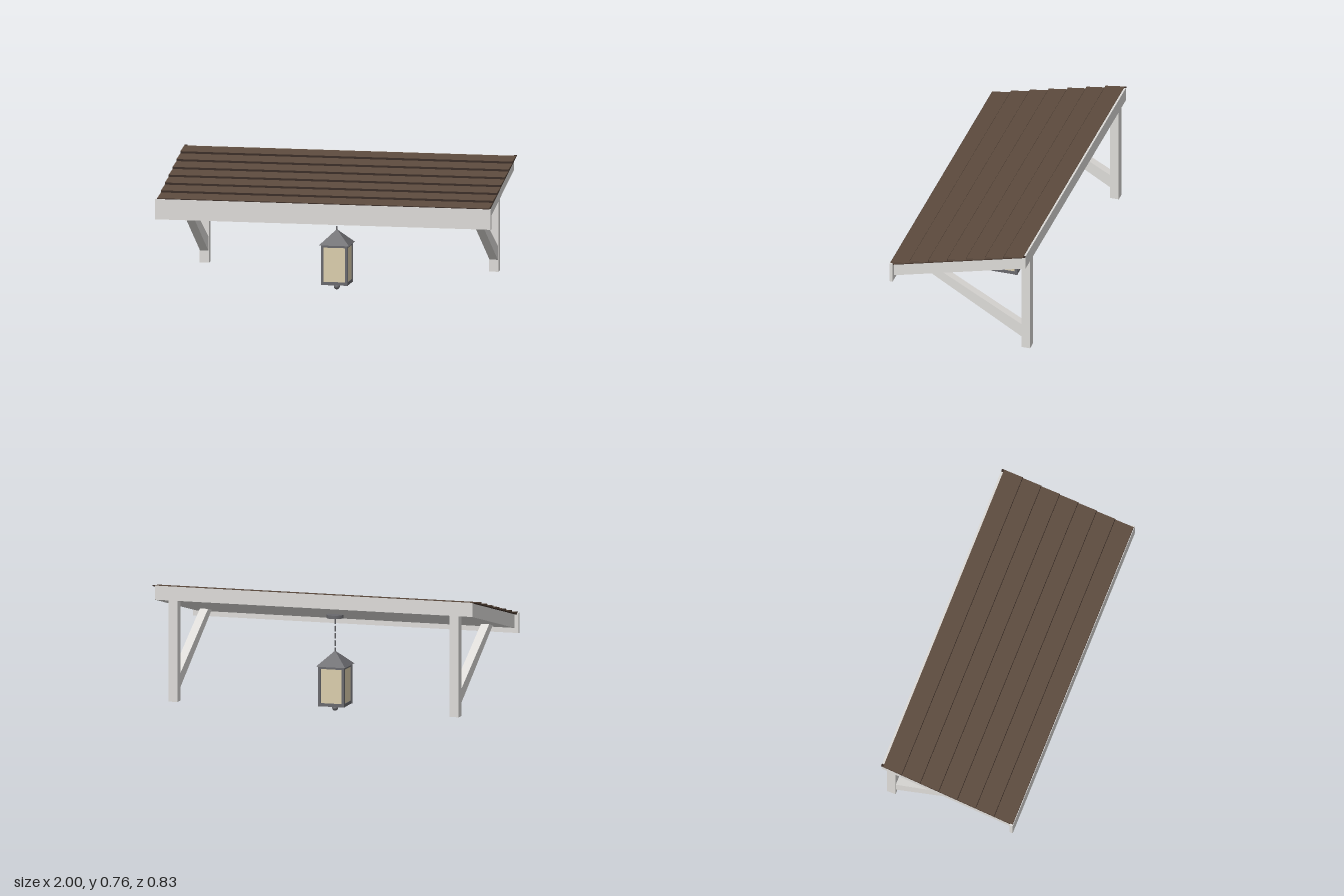
import * as THREE from 'three';

const mat = (name, color) => {
  const m = new THREE.MeshStandardMaterial({ color });
  m.name = name;
  return m;
};

export function createModel() {
  const model = new THREE.Group();
  const white = mat('paintedWood', 0xdddbd8);
  const brown = mat('brownBoards', 0x5c4a3d);
  const dark = mat('darkBrownEdge', 0x382a23);
  const metal = mat('greyMetal', 0x68686c);
  const glass = mat('warmGlass', 0xdacdac);

  const add = (parent, name, geo, material, x = 0, y = 0, z = 0) => {
    const mesh = new THREE.Mesh(geo, material);
    mesh.name = name;
    mesh.position.set(x, y, z);
    parent.add(mesh);
    return mesh;
  };
  const box = (parent, name, material, w, h, d, x, y, z) =>
    add(parent, name, new THREE.BoxGeometry(w, h, d), material, x, y, z);
  // Side profile of [z, y] points, extruded across x
  const slab = (name, points, width, material, x = 0) => {
    const shape = new THREE.Shape(points.map(([z, y]) => new THREE.Vector2(z, y)));
    const geo = new THREE.ExtrudeGeometry(shape, { depth: width, bevelEnabled: false });
    geo.translate(0, 0, -width / 2).rotateY(-Math.PI / 2);
    return add(model, name, geo, material, x);
  };
  // Heights of the sloping roof frame
  const top = z => 0.66 - 0.2445 * z;
  const bottom = z => 0.576 - 0.2445 * z;
  const front = 0.40, back = -0.413;

  // Roof body and front fascia
  slab('roofFrame', [[front, bottom(front)], [front, top(front)], [back, top(back)], [back, bottom(back)]], 1.95, white);
  box(model, 'fascia', white, 2, 0.12, 0.02, 0, 0.51, 0.405);

  // Overlapping roof boards, each with a dark front lip
  const count = 7, start = 0.41, end = -0.40;
  const pitch = (start - end) / count;
  for (let i = 0; i < count; i++) {
    const z0 = start - i * pitch, z1 = z0 - pitch;
    slab('roofBoard', [[z0, top(z0)], [z0, top(z0) + 0.015], [z1, top(z1) + 0.003], [z1, top(z1)]], 1.98, brown);
    box(model, 'boardLip', dark, 1.98, 0.0125, 0.002, 0, top(z0) + 0.0085, z0 + 0.0005);
  }

  // Mirrored edge strips, wall posts and diagonal braces
  for (const s of [-1, 1]) {
    slab('edgeStrip', [[0.41, top(0.41) - 0.003], [0.41, top(0.41) + 0.003], [back, top(back) + 0.002], [back, top(back) - 0.003]],
      0.016, dark, s * 0.982);
    slab('wallPost', [[-0.36, 0.077], [-0.36, bottom(-0.36) + 0.005], [back, bottom(back) + 0.005], [back, 0.077]],
      0.055, white, s * 0.863);
    slab('brace', [[0.25, bottom(0.25)], [0.18, bottom(0.18)], [-0.362, 0.231], [-0.362, 0.147]],
      0.05, white, s * 0.863);
  }

  // Ceiling mount and chain
  const lantern = new THREE.Group();
  lantern.name = 'lantern';
  model.add(lantern);
  add(lantern, 'ceilingMount', new THREE.CylinderGeometry(0.05, 0.05, 0.02, 24), metal, 0, 0.563, 0);
  for (let i = 0; i < 5; i++) {
    add(lantern, 'chainLink', new THREE.CylinderGeometry(0.005, 0.005, 0.032, 8), metal, 0, 0.532 - i * 0.043, 0);
  }

  // Pyramid cap
  const cap = new THREE.CylinderGeometry(0.004, 0.09 * Math.SQRT2, 0.083, 4).toNonIndexed();
  cap.computeVertexNormals();
  cap.rotateY(Math.PI / 4);
  add(lantern, 'lanternCap', cap, metal, 0, 0.3145, 0);

  // Lantern cage: plates, corner bars, glass panes and finial
  box(lantern, 'lanternTop', metal, 0.156, 0.015, 0.156, 0, 0.2665, 0);
  box(lantern, 'lanternBase', metal, 0.156, 0.019, 0.156, 0, 0.0465, 0);
  for (const sx of [-1, 1]) {
    for (const sz of [-1, 1]) {
      box(lantern, 'cornerBar', metal, 0.016, 0.238, 0.016, sx * 0.072, 0.156, sz * 0.072);
    }
  }
  for (const s of [-1, 1]) {
    box(lantern, 'glassPane', glass, 0.13, 0.204, 0.006, 0, 0.158, s * 0.071);
    box(lantern, 'glassPane', glass, 0.006, 0.204, 0.13, s * 0.071, 0.158, 0);
  }
  add(lantern, 'finial', new THREE.SphereGeometry(0.018, 20, 14), metal, 0, 0.02, 0);

  return model;
}
